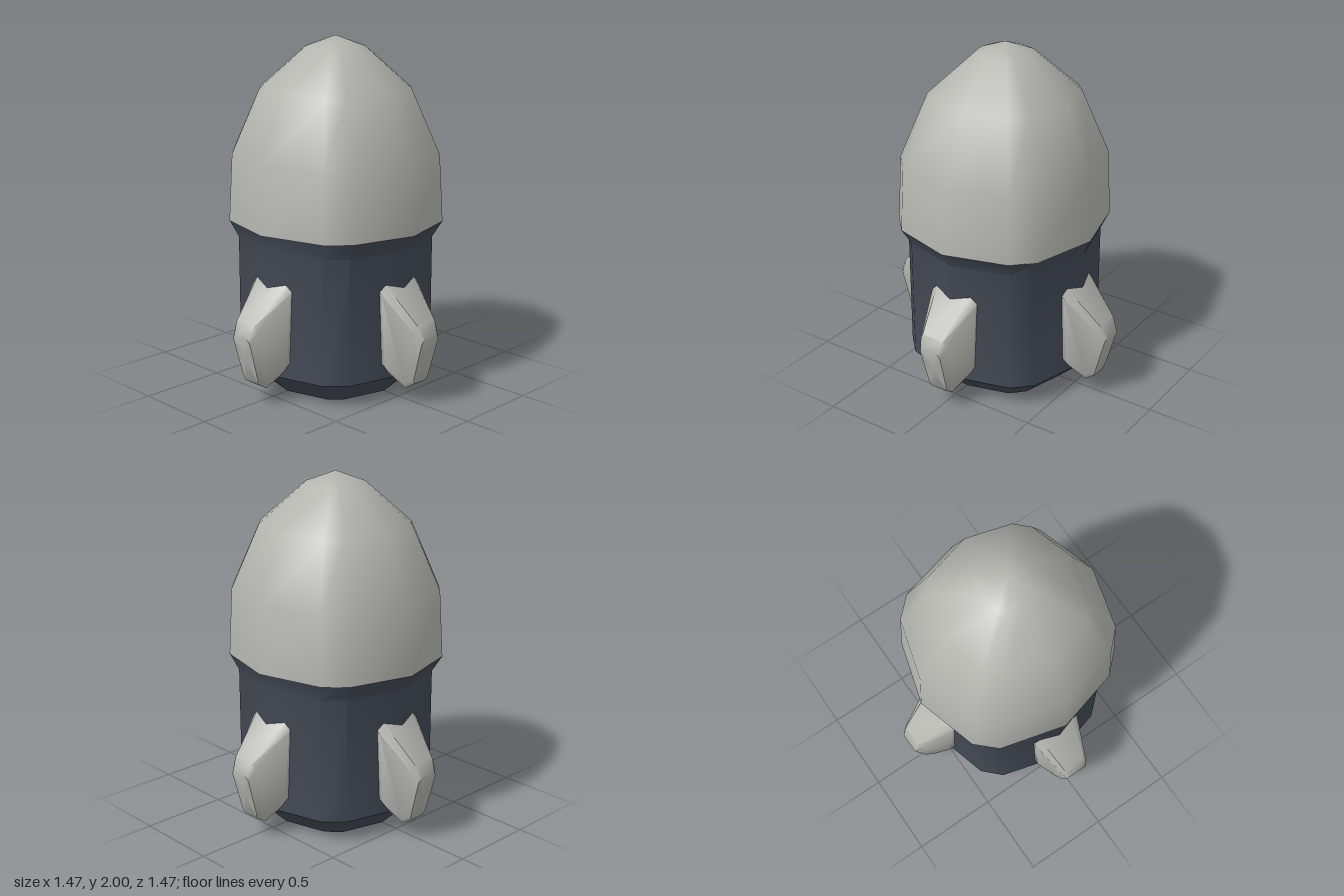
import * as THREE from 'three';
import { toCreasedNormals } from 'three/addons/utils/BufferGeometryUtils.js';

const lerp = THREE.MathUtils.lerp;

// Skin a list of closed rings (arrays of Vector3), dropping collapsed triangles at tips
function loft(rings, crease) {
  const pos = [];
  const tri = (a, b, c) => {
    if (new THREE.Triangle(a, b, c).getArea() > 1e-8) {
      for (const p of [a, b, c]) pos.push(p.x, p.y, p.z);
    }
  };
  for (let i = 0; i < rings.length - 1; i++) {
    const lo = rings[i], hi = rings[i + 1], n = lo.length;
    for (let j = 0; j < n; j++) {
      const k = (j + 1) % n;
      tri(lo[j], lo[k], hi[k]);
      tri(lo[j], hi[k], hi[j]);
    }
  }
  const geo = new THREE.BufferGeometry();
  geo.setAttribute('position', new THREE.Float32BufferAttribute(pos, 3));
  return toCreasedNormals(geo, crease);
}

// Rounded-square hull outline with twelve corners, unit half-width
const quarter = [[0, 1], [0.635, 0.825], [0.825, 0.635]];
const outline = [];
for (let q = 0; q < 4; q++) {
  for (const [x, z] of quarter) {
    const c = [1, 0, -1, 0][q], s = [0, 1, 0, -1][q];
    outline.push([x * c + z * s, z * c - x * s]);
  }
}
const hullRing = ([y, rx, rz = rx]) =>
  outline.map(([x, z]) => new THREE.Vector3(x * rx, y, z * rz));

// Fin section between a bottom and a top point, with chamfered corners
const finOutline = [[1, 0.09], [1, 0.91], [0.76, 1], [-0.76, 1],
  [-1, 0.91], [-1, 0.09], [-0.76, 0], [0.76, 0]];
const finRing = ([zTop, yTop, zBot, yBot, half]) =>
  finOutline.map(([u, v]) => new THREE.Vector3(
    u * half * lerp(0.86, 1, v), lerp(yBot, yTop, v), lerp(zBot, zTop, v)));

function finGeometry() {
  const rings = [
    [0.42, 0.76, 0.42, 0.24, 0.165],
    [0.50, 0.685, 0.52, 0.17, 0.155],
    [0.70, 0.48, 0.605, 0.095, 0.092],
    [0.735, 0.41, 0.66, 0.13, 0.07],
  ].map(finRing);
  const centre = new THREE.Vector3(0, 0.27, 0.6975);
  rings.push(finOutline.map(() => centre));
  return loft(rings, 0.75);
}

export function createModel() {
  const model = new THREE.Group();
  model.name = 'rocketPod';

  const mat = (name, color) => {
    const m = new THREE.MeshStandardMaterial({ color });
    m.name = name;
    return m;
  };
  const grey = mat('lightGrey', 0xb4b4af);
  const slate = mat('darkSlate', 0x454b57);
  const rust = mat('burntOrange', 0xb45f2c);

  const add = (name, geo, material) => {
    const mesh = new THREE.Mesh(geo, material);
    mesh.name = name;
    model.add(mesh);
    return mesh;
  };
  const addHull = (name, profile, material, crease = 0.72) =>
    add(name, loft(profile.map(hullRing), crease), material);

  // Hull, listed as height, half-width, half-depth
  addHull('noseCone', [
    [0.955, 0.6, 0.575], [1.34, 0.575, 0.557], [1.71, 0.41], [1.94, 0.16], [2, 0],
  ], grey, 0.8);
  addHull('body', [
    [0, 0.39], [0.137, 0.535], [0.86, 0.535], [0.955, 0.6, 0.575],
  ], slate);
  // Recessed exhaust, facing down
  addHull('exhaust', [[0.12, 0], [0, 0.39]], rust);

  // Four fins around the base
  const fin = finGeometry();
  ['frontFin', 'leftFin', 'backFin', 'rightFin'].forEach((name, i) => {
    add(name, fin, grey).rotation.y = i * Math.PI / 2;
  });

  return model;
}
